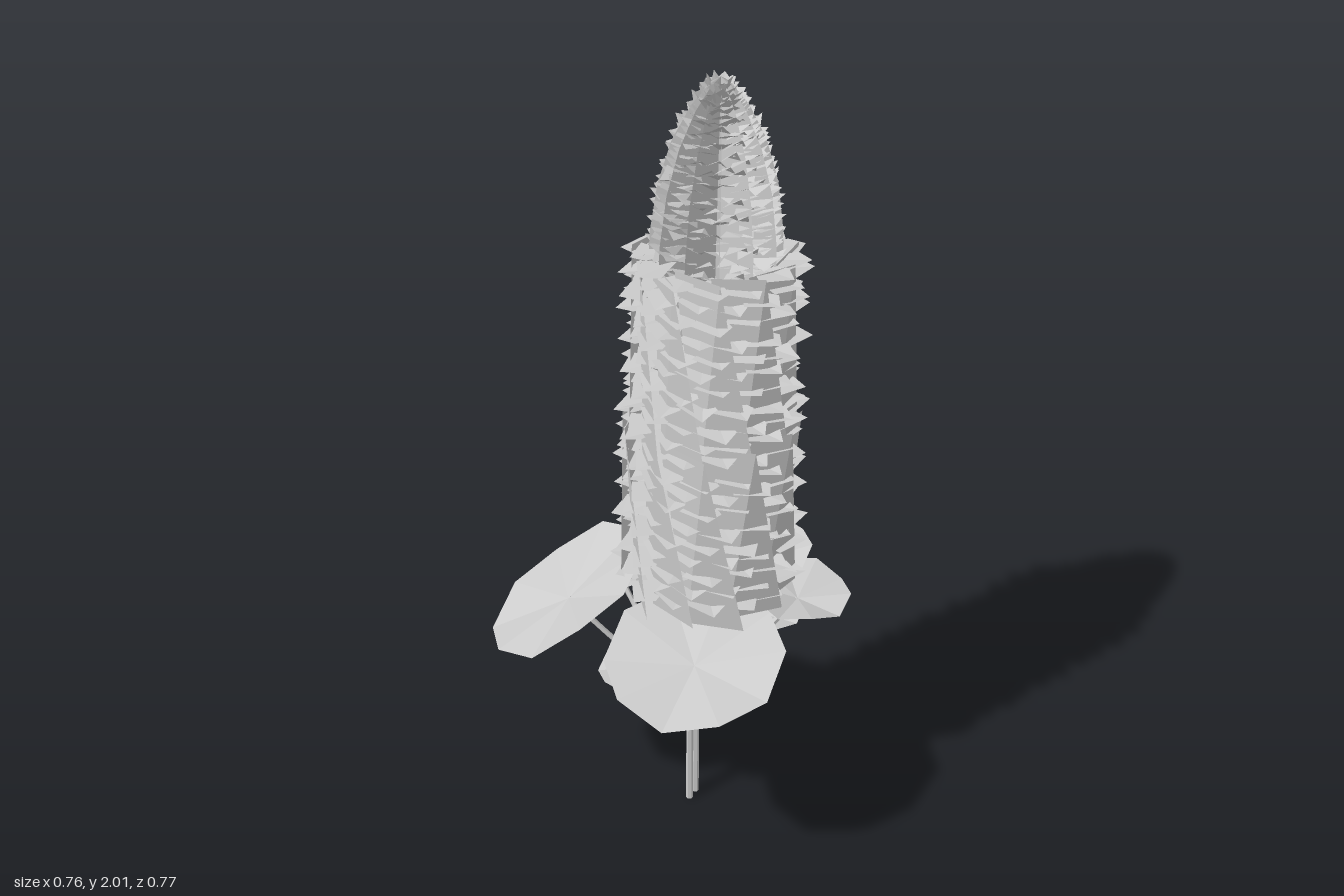
import * as THREE from 'three';

const material = new THREE.MeshStandardMaterial({ color: 0xcccccc, flatShading: true, side: THREE.DoubleSide });

let seed = 7;
const rand = () => {
  seed = (seed * 16807) % 2147483647;
  return seed / 2147483647;
};

function meshFrom(name, points) {
  const geometry = new THREE.BufferGeometry().setFromPoints(points);
  geometry.computeVertexNormals();
  const mesh = new THREE.Mesh(geometry, material);
  mesh.name = name;
  return mesh;
}

// Axis of the flower spike leans slightly; angle 0 faces the front
function around(angle, radius, y) {
  const t = (y - 0.69) / 1.31;
  return new THREE.Vector3(0.08 + 0.022 * t + radius * Math.sin(angle), y, -0.04 + radius * Math.cos(angle));
}

// Radius of the rounded spike tip at height y
const tipBase = 1.5;
const tipRadius = (y) => 0.15 * Math.pow(Math.max(0, 1 - Math.pow(Math.max(0, y - tipBase) / 0.5, 2.6)), 0.75);

// One tier of leaning strips set like a pinwheel, each with one edge tucked in
function spikeStrips(bottom, top, radiusBottom, radiusTop, turn) {
  const count = 11, points = [];
  for (let i = 0; i < count; i++) {
    const start = turn + (i / count) * Math.PI * 2;
    const drop = 0.02 * rand();
    const edge = (angle, radius, y) => [
      around(angle - 0.36, radius * 0.84, y - drop),
      around(angle + 0.33, radius * 1.05, y - drop),
    ];
    const [a, b] = edge(start, radiusBottom, bottom);
    const [d, c] = edge(start - 0.5, radiusTop, top);
    points.push(a, b, c, a, c, d);
  }
  return meshFrom('spikeStrips', points);
}

// A small folded petal pointing outwards
function addPetal(points, angle, inner, outer, y, lift, width, fold) {
  const mid = inner + (outer - inner) * 0.7;
  const base = around(angle, inner, y);
  const tip = around(angle + 0.1, outer, y + lift);
  const left = around(angle - width, mid, y + lift / 2 + fold);
  const right = around(angle + width, mid, y + lift / 2 + fold);
  points.push(base, left, tip, base, tip, right);
}

// Whorls of broad petals up the spike
function spikePetals() {
  const points = [];
  for (let k = 0; k < 20; k++) {
    const y = 0.72 + k * 0.0445;
    for (let i = 0; i < 14; i++) {
      const angle = (i / 14) * Math.PI * 2 + k * 0.21;
      const outer = 0.212 + 0.028 * rand() - 0.02 * k / 20;
      addPetal(points, angle, 0.1, outer, y + 0.02 * rand(), 0.014 * (rand() - 0.5), 0.26, 0.014 * (rand() - 0.3));
    }
  }
  return meshFrom('spikePetals', points);
}

// Dense buds on the tip
function tipBuds() {
  const points = [], count = 420;
  for (let i = 0; i < count; i++) {
    const y = 1.5 + 0.485 * (i + 0.5) / count;
    const r = tipRadius(y);
    addPetal(points, i * 2.39996, r * 0.6, r * (0.96 + 0.1 * rand()) + 0.003, y - 0.012,
      0.012 + 0.025 * rand(), Math.min(0.6, 0.028 / r), 0.03 * (rand() - 0.5));
  }
  return meshFrom('tipBuds', points);
}

// Crossed upright blades filling the tip
function tipBlades() {
  const points = [], steps = 6;
  const height = (k) => tipBase + 0.5 * Math.sin((k / steps) * Math.PI / 2);
  for (let i = 0; i < 6; i++) {
    const angle = i * Math.PI / 6;
    for (let k = 0; k < steps; k++) {
      const y0 = height(k), y1 = height(k + 1);
      const a = around(angle, -tipRadius(y0), y0), b = around(angle, tipRadius(y0), y0);
      const c = around(angle, tipRadius(y1), y1), d = around(angle, -tipRadius(y1), y1);
      points.push(a, b, c, a, c, d);
    }
  }
  return meshFrom('tipBlades', points);
}

// Cupped ten-sided leaf: centre, half sizes, slopes along x and z, stalk foot height
function leaf(x, y, z, rx, rz, slopeX, slopeZ, footY) {
  const group = new THREE.Group();
  group.name = 'leaf';
  const centre = new THREE.Vector3(x, y - 0.03, z);
  const rim = [];
  for (let i = 0; i < 10; i++) {
    const a = (i + 0.3) / 10 * Math.PI * 2;
    const dx = rx * 1.02 * Math.cos(a), dz = rz * 1.02 * Math.sin(a);
    rim.push(new THREE.Vector3(x + dx, y + slopeX * dx + slopeZ * dz + (i % 2 ? 0.008 : -0.008), z + dz));
  }
  const points = [];
  rim.forEach((p, i) => points.push(centre, rim[(i + 1) % rim.length], p));
  group.add(meshFrom('leafBlade', points));

  // Curved stalk from the stem up to the blade
  const foot = new THREE.Vector3(0.05, footY, -0.03);
  const bend = new THREE.Vector3().lerpVectors(foot, centre, 0.45);
  bend.y -= 0.02;
  const path = new THREE.CatmullRomCurve3([foot, bend, centre]);
  const stalk = new THREE.Mesh(new THREE.TubeGeometry(path, 6, 0.007, 5), material);
  stalk.name = 'leafStalk';
  group.add(stalk);
  return group;
}

export function createModel() {
  const model = new THREE.Group();
  model.name = 'floweringPlant';

  // Twin stems
  for (const z of [-0.015, -0.046]) {
    const stem = new THREE.Mesh(new THREE.CylinderGeometry(0.008, 0.009, 0.72, 6), material);
    stem.position.set(0.05, 0.36, z);
    stem.name = 'stem';
    model.add(stem);
  }

  // Upper leaves
  model.add(
    leaf(-0.205, 0.665, 0.132, 0.175, 0.208, 0.5, -0.3, 0.32),
    leaf(0.158, 0.62, 0.17, 0.21, 0.21, -0.06, -0.28, 0.3),
    leaf(0.255, 0.62, -0.185, 0.125, 0.138, -0.15, 0.1, 0.34),
    leaf(0.115, 0.65, -0.24, 0.132, 0.142, 0.05, -0.1, 0.36),
    leaf(-0.175, 0.63, -0.057, 0.137, 0.108, 0.25, -0.15, 0.3),
  );

  // Lower leaves
  model.add(
    leaf(-0.022, 0.455, -0.222, 0.125, 0.125, 0.42, 0.3, 0.25),
    leaf(-0.02, 0.48, 0.07, 0.12, 0.125, 0.25, -0.12, 0.3),
    leaf(0.14, 0.51, -0.22, 0.11, 0.125, 0.02, -0.05, 0.24),
  );

  // Flower spike in two tiers, with its tip
  model.add(
    spikeStrips(0.69, 1.17, 0.202, 0.2, 0),
    spikeStrips(1.08, 1.6, 0.193, 0.178, -0.45),
    spikePetals(),
    tipBlades(),
    tipBuds(),
  );
  return model;
}
